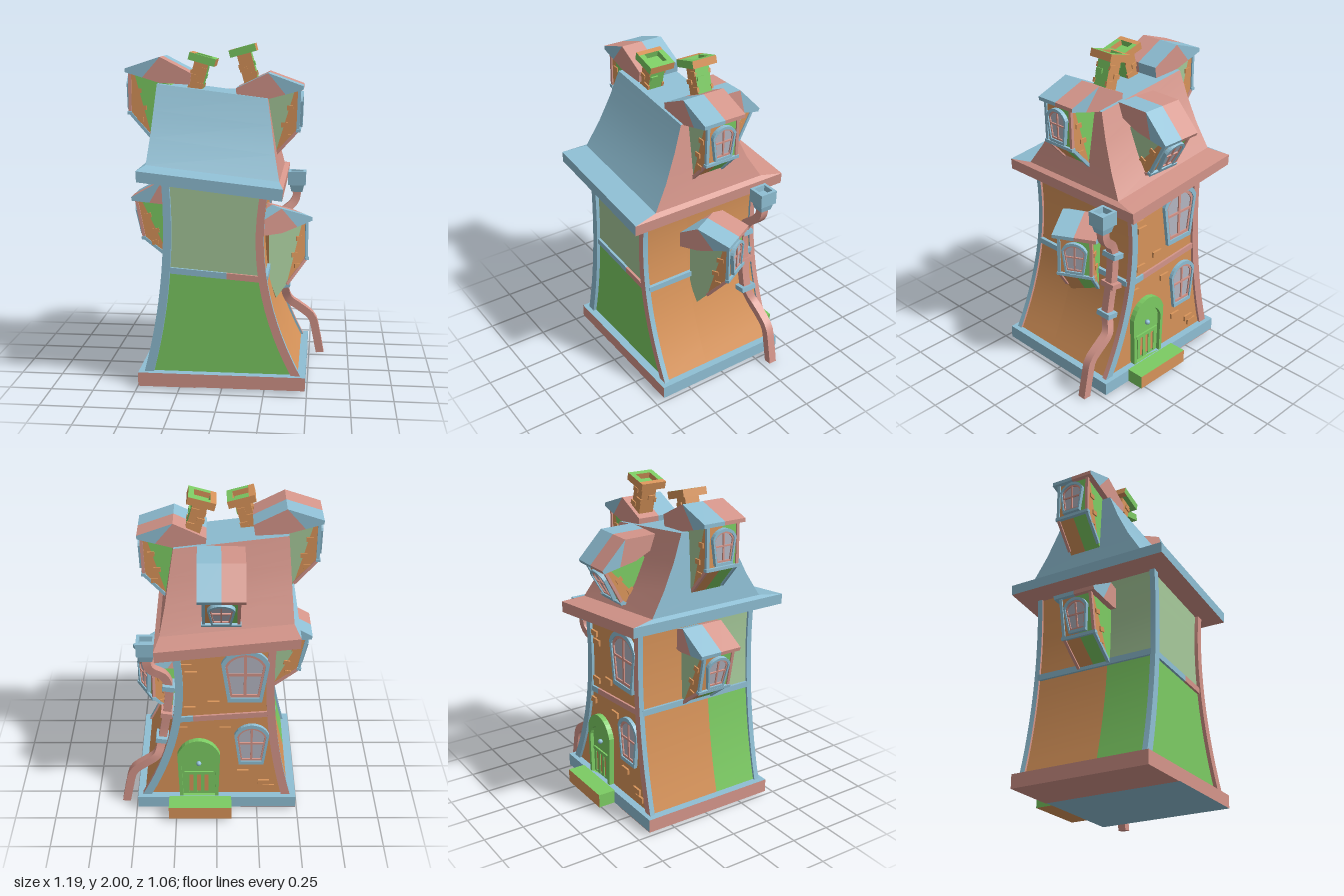
import * as THREE from 'three';
import { toCreasedNormals } from 'three/addons/utils/BufferGeometryUtils.js';

const mat = (name, color) => Object.assign(new THREE.MeshStandardMaterial({ color }), { name });
const blue = mat('blue', 0x8fbfd4), pink = mat('pink', 0xd4958a), orange = mat('orange', 0xd8945a);
const green = mat('green', 0x7ccb63), pale = mat('paleGreen', 0xa6c99a), glass = mat('glass', 0xb4b6c2);

// Bowed outlines of the left (-x) and right (+x) house sides
const xl = y => -0.335 - 0.148 * (y - 1) ** 2;
const xr = y => 0.243 + 0.323 * (y - 0.92) ** 2;

function add(parent, name, geo, material, x = 0, y = 0, z = 0) {
  const m = new THREE.Mesh(geo, material);
  m.name = name;
  m.position.set(x, y, z);
  parent.add(m);
  return m;
}
const box = (parent, name, material, w, h, d, x, y, z) =>
  add(parent, name, new THREE.BoxGeometry(w, h, d), material, x, y, z);

// Joins four-cornered rings; materials: front, right, back, left, top, bottom
function loft(parent, name, rings, mats) {
  const pos = [], geo = new THREE.BufferGeometry();
  const quad = (a, b, c, d) => pos.push(...a, ...b, ...c, ...a, ...c, ...d);
  const n = rings.length - 1;
  for (let s = 0; s < 4; s++) {
    const start = pos.length / 3, e = (s + 1) % 4;
    for (let i = 0; i < n; i++) quad(rings[i][s], rings[i][e], rings[i + 1][e], rings[i + 1][s]);
    geo.addGroup(start, pos.length / 3 - start, s);
  }
  geo.addGroup(pos.length / 3, 6, 4);
  quad(...rings[n]);
  geo.addGroup(pos.length / 3, 6, 5);
  quad(...[...rings[0]].reverse());
  geo.setAttribute('position', new THREE.Float32BufferAttribute(pos, 3));
  geo.computeVertexNormals();
  return add(parent, name, toCreasedNormals(geo, 0.45), Array.isArray(mats) ? mats : Array(6).fill(mats));
}
// Ring with its own height on the left and right
const ring = (x0, y0, x1, y1, z0, z1) => [[x0, y0, z1], [x1, y1, z1], [x1, y1, z0], [x0, y0, z0]];

// Polygon extruded along z with separate cap and edge colours
function slab(parent, name, pts, z0, z1, cap, edge) {
  const shape = new THREE.Shape(pts.map(p => new THREE.Vector2(...p)));
  const geo = new THREE.ExtrudeGeometry(shape, { depth: z1 - z0, bevelEnabled: false });
  return add(parent, name, geo, [cap, edge], 0, 0, z0);
}

// Arched outline, narrower at the bottom by the given ratio
function arch(P, w, h, k, low, base) {
  const b = w * low * k, t = w * 0.5 * k, c = h / 2, Y = y => base ? y * k : c + (y - c) * k;
  const s = new P();
  s.moveTo(-b, Y(0));
  s.lineTo(b, Y(0));
  s.lineTo(t, Y(h * 0.74));
  s.quadraticCurveTo(t * 0.75, Y(h * 0.98), 0, Y(h));
  s.quadraticCurveTo(-t * 0.75, Y(h * 0.98), -t, Y(h * 0.74));
  s.closePath();
  return s;
}
const extrude = (shape, depth) => new THREE.ExtrudeGeometry(shape, { depth, bevelEnabled: false, curveSegments: 6 });
function frame(parent, name, w, h, k, low, base, depth, material) {
  const s = arch(THREE.Shape, w, h, 1, low, base);
  s.holes.push(arch(THREE.Path, w, h, k, low, base));
  return add(parent, name, extrude(s, depth), material);
}

function makeWindow(parent, w, h, x, y, z, turn) {
  const g = new THREE.Group();
  g.name = 'window';
  g.position.set(x, y, z);
  g.rotation.y = turn;
  parent.add(g);
  frame(g, 'windowFrame', w, h, 0.84, 0.36, false, 0.024, blue);
  add(g, 'windowPane', extrude(arch(THREE.Shape, w, h, 0.86, 0.36, false), 0.008), glass);
  const inner = frame(g, 'windowSash', w * 0.84, h * 0.84, 0.88, 0.36, false, 0.016, pink);
  inner.position.y = h * 0.08;
  box(g, 'mullion', pink, w * 0.06, h * 0.82, 0.016, 0, h / 2, 0.008);
  box(g, 'transom', pink, w * 0.74, h * 0.04, 0.016, 0, h * 0.52, 0.008);
}

// Bay window facing local +x, with a wedge foot and a bent awning roof
function dormer(parent, name, x, y, z, turn, tilt) {
  const g = new THREE.Group();
  g.name = name;
  g.position.set(x, y, z);
  g.rotation.set(0, turn, -tilt, 'YXZ');
  parent.add(g);
  const outer = [[0, 0.235], [0, 0], [-0.13, -0.15], [-0.03, 0.225]];
  const inner = [[-0.03, 0.225], [-0.13, -0.15], [-0.2, -0.23], [-0.25, -0.1], [-0.25, 0.165], [-0.18, 0.185]];
  const roofOuter = [[0.022, 0.24], [0.022, 0.262], [-0.185, 0.33], [-0.08, 0.21]];
  const roofInner = [[-0.08, 0.21], [-0.185, 0.33], [-0.37, 0.235], [-0.36, 0.17], [-0.18, 0.18]];
  for (const s of [1, -1]) {
    const span = w => s > 0 ? [0, w] : [-w, 0];
    const wall = s > 0 ? orange : green, top = s > 0 ? blue : pink;
    slab(g, 'bayOuter', outer, ...span(0.1), orange, wall);
    slab(g, 'bayInner', inner, ...span(0.1), s > 0 ? pale : green, wall);
    slab(g, 'bayRoofOuter', roofOuter, ...span(0.135), blue, top);
    slab(g, 'bayRoofInner', roofInner, ...span(0.135), pink, top);
    // Corner trims and bricks
    box(g, 'cornerTrim', s > 0 ? blue : pink, 0.018, 0.24, 0.018, 0, 0.118, s * 0.099);
    const foot = box(g, 'footTrim', s > 0 ? pink : blue, 0.018, 0.2, 0.018, -0.065, -0.075, s * 0.099);
    foot.rotation.z = -Math.atan2(0.13, 0.15);
    for (const [u, v] of [[-0.05, 0.13], [-0.08, 0.03], [-0.06, -0.04]])
      box(g, 'brick', orange, 0.04, 0.028, 0.012, u, v, s * 0.102);
  }
  box(g, 'baySill', blue, 0.026, 0.018, 0.225, 0.002, 0, 0);
  makeWindow(g, 0.155, 0.205, 0, 0.018, 0, Math.PI / 2);
}

function chimney(parent, x, y, z, lean) {
  const g = new THREE.Group();
  g.name = 'chimney';
  g.position.set(x, y, z);
  g.rotation.z = lean;
  parent.add(g);
  box(g, 'stack', [green, orange, green, green, orange, orange], 0.085, 0.27, 0.095, 0, -0.145, 0);
  const side = [orange, orange, green, green, green, orange];
  for (const s of [1, -1]) {
    box(g, 'capSide', s > 0 ? side : [green, orange, orange, orange, green, orange], 0.033, 0.044, 0.16, s * 0.0635, 0, 0);
    box(g, 'capEnd', [green, green, green, green, green, orange], 0.094, 0.044, 0.033, 0, 0, s * 0.0635);
    for (const [u, v] of [[0.02, -0.06], [-0.025, -0.11], [0.025, -0.15]])
      box(g, 'brick', orange, 0.045, 0.026, 0.014, u, v, s * 0.048);
    box(g, 'brick', s > 0 ? green : orange, 0.014, 0.026, 0.045, s * 0.044, -0.09, 0.02);
  }
}

export function createModel() {
  const house = new THREE.Group();
  house.name = 'crookedHouse';

  // Base and door step
  box(house, 'baseSlab', [blue, pink, blue, blue, pink, blue], 0.98, 0.08, 0.865, 0, 0.06, 0.0125);
  box(house, 'basePlate', pink, 0.34, 0.004, 0.865, -0.32, 0.019, 0.0125);
  box(house, 'doorStep', [green, green, green, orange, green, orange], 0.385, 0.085, 0.11, 0.103, 0.0625, -0.473);

  // Walls in two storeys, each with a front and a back portion
  const steps = 7;
  const wallRing = (t, z0, z1) => {
    const a = 0.1 + t * 1.19, b = 0.1 + t * 1.1;
    return ring(xl(a) + 0.014, a, xr(b) - 0.014, b, z0, z1);
  };
  for (const [t0, t1, colour] of [[0, 0.52, green], [0.52, 1, pale]])
    for (const [z0, z1, left] of [[-0.375, 0.1, orange], [0.1, 0.395, colour]]) {
      const rings = [];
      for (let i = 0; i <= steps; i++) rings.push(wallRing(t0 + (t1 - t0) * i / steps, z0, z1));
      loft(house, 'wall', rings, [colour, orange, orange, left, orange, orange]);
    }

  // Corner posts following the bowed sides
  const posts = [[-1, 1, [blue, blue, blue, blue]], [1, 1, [pink, blue, pink, pink]],
    [1, -1, [blue, pink, blue, blue]], [-1, -1, [pink, pink, pink, blue]]];
  for (const [sx, sz, m] of posts) {
    const rings = [], z0 = sz > 0 ? 0.385 : -0.392, z1 = sz > 0 ? 0.417 : -0.36;
    for (let i = 0; i <= 14; i++) {
      const y = 0.1 + (sx < 0 ? 1.18 : 1.09) * i / 14, w = 0.055 - 0.012 * i / 14;
      const x = sx < 0 ? xl(y) : xr(y) - w;
      rings.push(ring(x, y, x + w, y, z0, z1));
    }
    loft(house, 'cornerPost', rings, [...m, blue, blue]);
  }

  // Sloping bands between the storeys
  const bandY = x => 0.70 - 0.078 * (x + 0.34);
  const band = (x0, x1, z0, z1, m) => loft(house, 'floorBand',
    [0, 0.036].map(h => ring(x0, bandY(x0) + h, x1, bandY(x1) + h, z0, z1)), m);
  band(-0.33, 0.03, 0.38, 0.41, blue);
  band(0.03, 0.24, 0.38, 0.41, pink);
  band(-0.33, 0.14, -0.388, -0.36, pink);
  band(0.14, 0.24, -0.388, -0.36, blue);
  band(xl(0.72) - 0.002, -0.3, -0.37, 0.39, blue);
  band(0.22, xr(0.67) + 0.002, -0.37, 0.39, blue);

  // Tilted mansard roof with broad eaves
  loft(house, 'roof', [
    ring(-0.465, 1.25, 0.35, 1.155, -0.5, 0.53),
    ring(-0.468, 1.312, 0.355, 1.222, -0.5, 0.53),
    ring(-0.437, 1.325, 0.327, 1.24, -0.36, 0.38),
    ring(-0.426, 1.47, 0.296, 1.38, -0.275, 0.29),
    ring(-0.416, 1.62, 0.27, 1.54, -0.205, 0.215),
    ring(-0.405, 1.77, 0.245, 1.69, -0.15, 0.155),
  ], [blue, pink, pink, blue, blue, pink]);

  // Bay windows on roof and sides
  dormer(house, 'rightRoofDormer', 0.42, 1.5, 0.005, 0, 0.03);
  dormer(house, 'leftRoofDormer', -0.575, 1.595, 0, Math.PI, 0);
  dormer(house, 'backRoofDormer', -0.025, 1.33, -0.365, Math.PI / 2, 0.49);
  dormer(house, 'leftSideBay', -0.5, 0.84, 0.015, Math.PI, 0.19);
  dormer(house, 'rightSideBay', 0.43, 0.7, -0.11, 0.49, 0);

  chimney(house, -0.14, 1.912, 0.07, -0.27);
  chimney(house, 0.085, 1.958, -0.06, 0.27);

  // Back windows, door and bricks
  makeWindow(house, 0.28, 0.36, -0.165, 0.81, -0.373, Math.PI);
  makeWindow(house, 0.21, 0.3, -0.21, 0.34, -0.373, Math.PI);
  const door = new THREE.Group();
  door.name = 'door';
  door.position.set(0.11, 0.1, -0.373);
  door.rotation.y = Math.PI;
  house.add(door);
  frame(door, 'doorFrame', 0.26, 0.43, 0.82, 0.46, true, 0.035, green);
  add(door, 'doorLeaf', extrude(arch(THREE.Shape, 0.26, 0.43, 0.83, 0.46, true), 0.012), green);
  box(door, 'doorPanel', orange, 0.15, 0.13, 0.008, 0, 0.09, 0.013);
  for (const x of [-0.07, -0.023, 0.023, 0.07]) box(door, 'doorSlat', green, 0.022, 0.15, 0.012, x, 0.09, 0.017);
  box(door, 'doorRail', green, 0.18, 0.022, 0.012, 0, 0.17, 0.017);
  add(door, 'doorKnob', new THREE.SphereGeometry(0.016, 12, 8), blue, 0, 0.25, 0.025);
  for (const [x, y] of [[0.16, 0.75], [0.02, 0.79], [0.18, 1.05], [0.15, 1.0], [-0.16, 0.27], [-0.32, 0.15], [-0.29, 0.19], [0.21, 0.6], [-0.05, 0.6]])
    box(house, 'brick', orange, 0.07, 0.035, 0.02, x, y, -0.378);

  // Drainpipe, square in section, from the ground up to the hopper
  const path = new THREE.CatmullRomCurve3([[0.57, 0, -0.317], [0.545, 0.13, -0.317], [0.515, 0.24, -0.317],
    [0.445, 0.3, -0.317], [0.365, 0.36, -0.31], [0.335, 0.46, -0.277], [0.3, 0.66, -0.275], [0.285, 0.85, -0.275],
    [0.315, 0.93, -0.285], [0.38, 0.985, -0.31], [0.405, 1.03, -0.318], [0.405, 1.09, -0.318]].map(p => new THREE.Vector3(...p)));
  const rings = [], r = 0.025;
  for (let i = 0; i <= 30; i++) {
    const p = path.getPoint(i / 30), t = path.getTangent(i / 30);
    const n = t.cross(new THREE.Vector3(0, 0, 1)).normalize();
    rings.push([[-1, 1], [1, 1], [1, -1], [-1, -1]].map(([a, b]) => [p.x + a * r * n.x, Math.max(0, p.y + a * r * n.y), p.z + b * r]));
  }
  loft(house, 'drainpipe', rings, pink);
  for (const [x, y, m] of [[0.285, 0.85, blue], [0.3, 0.655, pink], [0.335, 0.465, blue]])
    box(house, 'pipeBracket', m, 0.075, 0.032, 0.1, x, y, -0.276).rotation.z = 0.15;
  const hop = (w, y) => ring(0.408 - w, y, 0.408 + w, y, -0.32 - w, -0.32 + w);
  loft(house, 'hopper', [hop(0.035, 1.065), hop(0.045, 1.11), hop(0.055, 1.11), hop(0.056, 1.195), hop(0.038, 1.195), hop(0.036, 1.16)], blue);

  return house;
}
